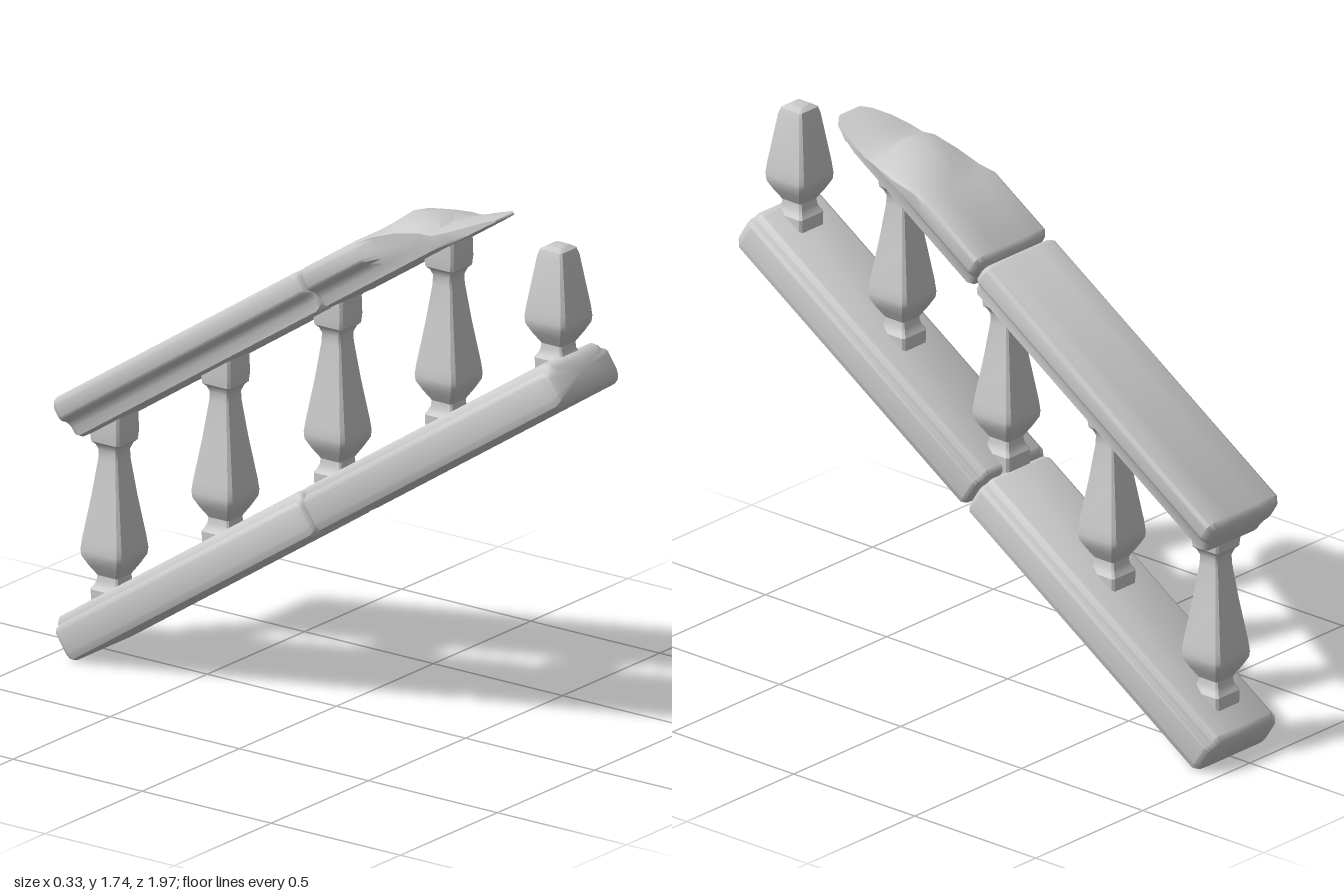
import * as THREE from 'three';
import { toCreasedNormals } from 'three/addons/utils/BufferGeometryUtils.js';

const SLOPE = 0.578;            // pitch of the stair, radians
const RISE = Math.tan(SLOPE);
const LOWER_Y = 0.69, UPPER_Y = 1.413, HALF_LENGTH = 1.145;
const material = new THREE.MeshStandardMaterial({ color: 0xcccccc });

// Skin a list of counterclockwise rings [[x, y, z], ...] and close both ends
function loft(rings, crease) {
  const n = rings[0].length, last = rings.length - 1;
  const points = rings.flat(), index = [];
  for (let i = 0; i < last; i++) {
    for (let j = 0; j < n; j++) {
      const a = i * n + j, b = i * n + (j + 1) % n;
      index.push(a, b, b + n, a, b + n, a + n);
    }
  }
  for (const end of [0, last]) {
    const middle = [0, 1, 2].map(k => rings[end].reduce((sum, p) => sum + p[k], 0) / n);
    const c = points.push(middle) - 1;
    for (let j = 0; j < n; j++) {
      const a = end * n + j, b = end * n + (j + 1) % n;
      if (end) index.push(c, a, b); else index.push(c, b, a);
    }
  }
  const geometry = new THREE.BufferGeometry();
  geometry.setAttribute('position', new THREE.Float32BufferAttribute(points.flat(), 3));
  geometry.setIndex(index);
  return toCreasedNormals(geometry, crease);
}

// Complete a right-hand half profile (bottom to top) by mirroring it
const mirrored = half => [...half, ...half.slice().reverse().filter(p => p[0] > 0).map(([x, y]) => [-x, y])];

const baseProfile = mirrored([
  [0.14, -0.073], [0.158, -0.066], [0.165, -0.045], [0.165, 0.032], [0.158, 0.044],
  [0.14, 0.05], [0.133, 0.066], [0.122, 0.073], [0, 0.073]]);
const handrailProfile = mirrored([
  [0.11, -0.072], [0.125, -0.064], [0.128, -0.032], [0.138, -0.012], [0.16, 0.002],
  [0.165, 0.012], [0.165, 0.052], [0.158, 0.066], [0.14, 0.073], [0.07, 0.073], [0, 0.073]]);

// Ring of a profile, shrunk inward by an inset
const ringAt = (profile, z, inset = 0) =>
  profile.map(([x, y]) => [x * (1 - inset / 0.165), y * (1 - inset / 0.073), z]);

// Worn, rounded end: pairs of [distance from end, inset]
const wornEnd = size => [[0, size], [size * 0.3, size * 0.4], [size, 0]];

function block(profile, z0, z1, size0, size1) {
  return [
    ...wornEnd(size0).map(([d, inset]) => ringAt(profile, z0 + d, inset)),
    ...wornEnd(size1).reverse().map(([d, inset]) => ringAt(profile, z1 - d, inset))];
}

// Broken upper handrail: [z, left limit, right limit, top height, crown]
function brokenHandrail() {
  const breaks = [
    [0.27, -0.165, 0.165, 0.073, 0], [0.32, -0.135, 0.165, 0.075, 0.8],
    [0.41, -0.13, 0.16, 0.08, 2.5], [0.5, -0.13, 0.152, 0.037, 2],
    [0.535, -0.125, 0.142, -0.006, 1], [0.585, -0.115, 0.133, -0.02, 1],
    [0.64, -0.095, 0.115, -0.036, 1], [0.695, -0.06, 0.09, -0.055, 0.5],
    [0.722, -0.035, 0.06, -0.067, 0]];
  const rings = wornEnd(0.022).map(([d, inset]) => ringAt(handrailProfile, 0.004 + d, inset));
  for (const [z, left, right, top, crown] of breaks) {
    rings.push(handrailProfile.map(([x, y]) => {
      const px = Math.min(right, Math.max(left, x));
      const limit = Math.max(-0.068, top - crown * px * px);
      return [px, y > 0.07 && top > 0.07 ? limit : Math.min(y, limit), z];
    }));
  }
  return rings;
}

// Square baluster with worn corners, from [half width, height] pairs
function balusterGeometry(outline) {
  const rings = outline.map(([w, h]) => {
    const c = w * 0.86;
    return [[w, -c], [w, c], [c, w], [-c, w], [-w, c], [-w, -c], [-c, -w], [c, -w]].map(([x, y]) => [x, y, h]);
  });
  return loft(rings, 0.55).rotateX(-Math.PI / 2);
}

export function createModel() {
  const model = new THREE.Group();
  model.name = 'stairBalustrade';
  const add = (parent, geometry, name) => {
    const mesh = new THREE.Mesh(geometry, material);
    mesh.name = name;
    parent.add(mesh);
    return mesh;
  };
  const slopedGroup = (name, y) => {
    const group = new THREE.Group();
    group.name = name;
    group.position.y = y;
    group.rotation.x = -SLOPE;
    model.add(group);
    return group;
  };

  // Sloping base in two stones
  const base = slopedGroup('baseRail', LOWER_Y);
  add(base, loft(block(baseProfile, -HALF_LENGTH, -0.004, 0.024, 0.018), 0.6), 'lowerBaseStone');
  add(base, loft(block(baseProfile, 0.004, HALF_LENGTH, 0.018, 0.03), 0.6), 'upperBaseStone');

  // Handrail: one whole stone and one broken off
  const handrail = slopedGroup('handrail', UPPER_Y);
  add(handrail, loft(block(handrailProfile, -HALF_LENGTH, -0.004, 0.026, 0.02), 0.6), 'lowerHandrailStone');
  add(handrail, loft(brokenHandrail(), 0.6), 'brokenHandrailStone');

  // Balusters, the top one snapped off
  const lowerPart = [
    [0.054, 0.02], [0.056, 0.094], [0.048, 0.106], [0.042, 0.12], [0.04, 0.14],
    [0.062, 0.175], [0.078, 0.205], [0.08, 0.225], [0.076, 0.26]];
  const whole = balusterGeometry([
    ...lowerPart, [0.054, 0.4], [0.038, 0.52], [0.037, 0.55], [0.045, 0.57], [0.055, 0.58], [0.058, 0.61], [0.056, 0.69]]);
  const snapped = balusterGeometry([...lowerPart, [0.05, 0.425], [0.043, 0.447], [0.026, 0.458]]);
  [-0.86, -0.43, 0.005, 0.435, 0.86].forEach((z, i) => {
    const mesh = add(model, i < 4 ? whole : snapped, i < 4 ? 'baluster' : 'brokenBaluster');
    mesh.position.set(0, LOWER_Y + z * RISE, z);
  });
  return model;
}
